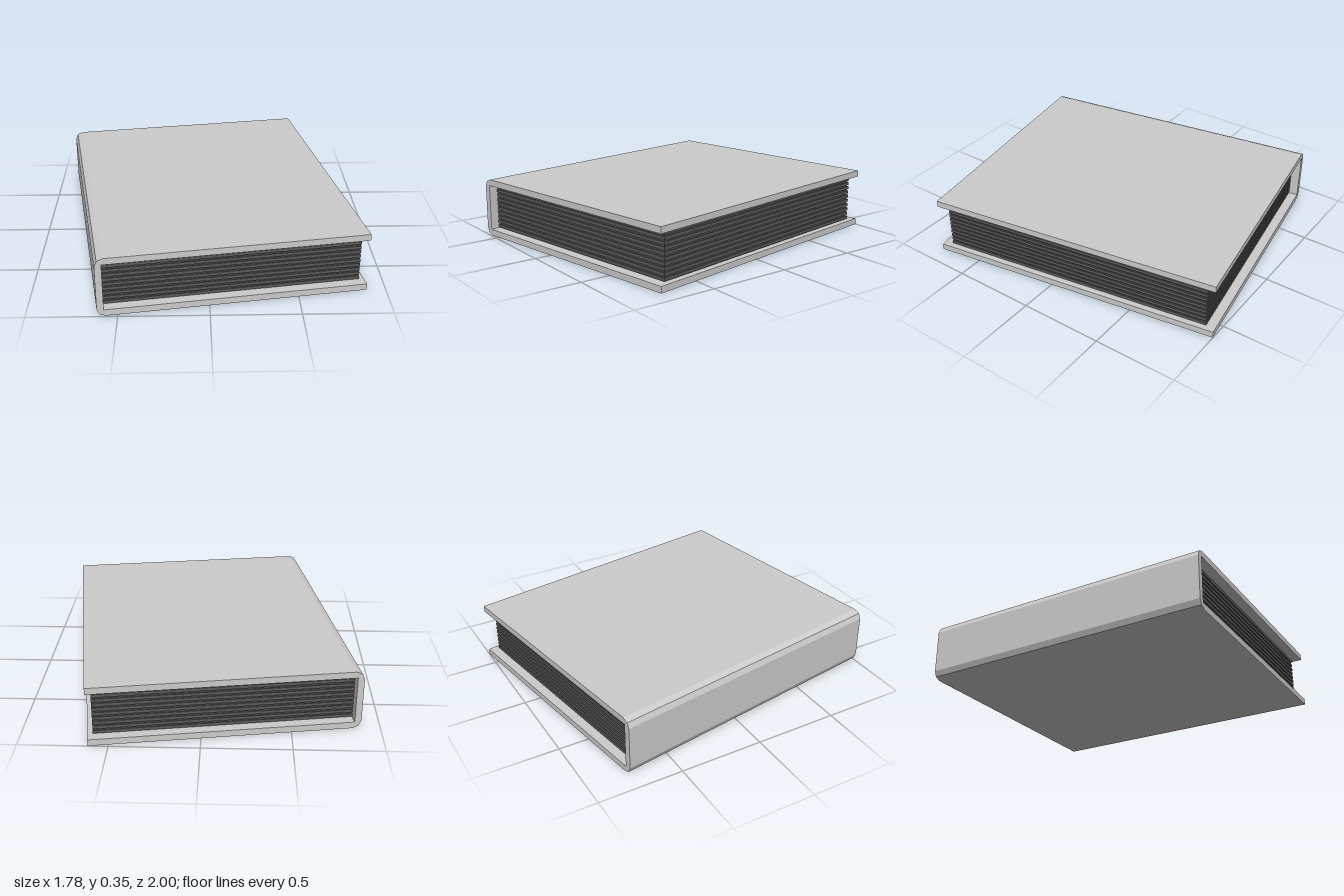
import * as THREE from 'three';

const W = 0.761, D = 0.89, H = 0.355, T = 0.038; // half width, half depth, height, board thickness
const PAGE_X = 0.73, PAGE_Z = 0.836;             // fore edge and half depth of the page block
const LEAVES = 10;

export function createModel() {
  const group = new THREE.Group();
  const book = new THREE.Group();
  book.name = 'book';
  book.rotation.y = 0.158;
  group.add(book);

  const coverMaterial = new THREE.MeshStandardMaterial({ color: 0xcccccc, flatShading: true });
  const pageMaterial = new THREE.MeshStandardMaterial({ color: 0x5a5a5a, flatShading: true });

  // Cover: C-shaped section with rounded spine corners, extruded along the spine
  const r = 0.047, k = r * 0.3;
  const outline = [
    [W, 0], [-W + r, 0], [-W + k, k], [-W, r],
    [-W, H - r], [-W + k, H - k], [-W + r, H], [W, H],
    [W, H - T], [-W + T, H - T], [-W + T, T], [W, T],
  ].map(([x, y]) => new THREE.Vector2(x, y));
  const coverGeometry = new THREE.ExtrudeGeometry(new THREE.Shape(outline), { depth: 2 * D, bevelEnabled: false });
  coverGeometry.translate(0, 0, -D);
  const cover = new THREE.Mesh(coverGeometry, coverMaterial);
  cover.name = 'cover';
  book.add(cover);

  // Pages: a slightly recessed core with thicker leaves standing proud of it
  const pages = new THREE.Group();
  pages.name = 'pages';
  book.add(pages);
  const addSheet = (name, inset, height, y) => {
    const left = -W + T, right = PAGE_X - inset;
    const mesh = new THREE.Mesh(new THREE.BoxGeometry(right - left, height, 2 * (PAGE_Z - inset)), pageMaterial);
    mesh.position.set((left + right) / 2, y, 0);
    mesh.name = name;
    pages.add(mesh);
  };
  const blockHeight = H - 2 * T, step = blockHeight / LEAVES;
  addSheet('pageCore', 0.008, blockHeight, H / 2);
  for (let i = 0; i < LEAVES; i++) {
    addSheet('pageLeaf', 0, step * 0.65, T + (i + 0.5) * step);
  }

  return group;
}
